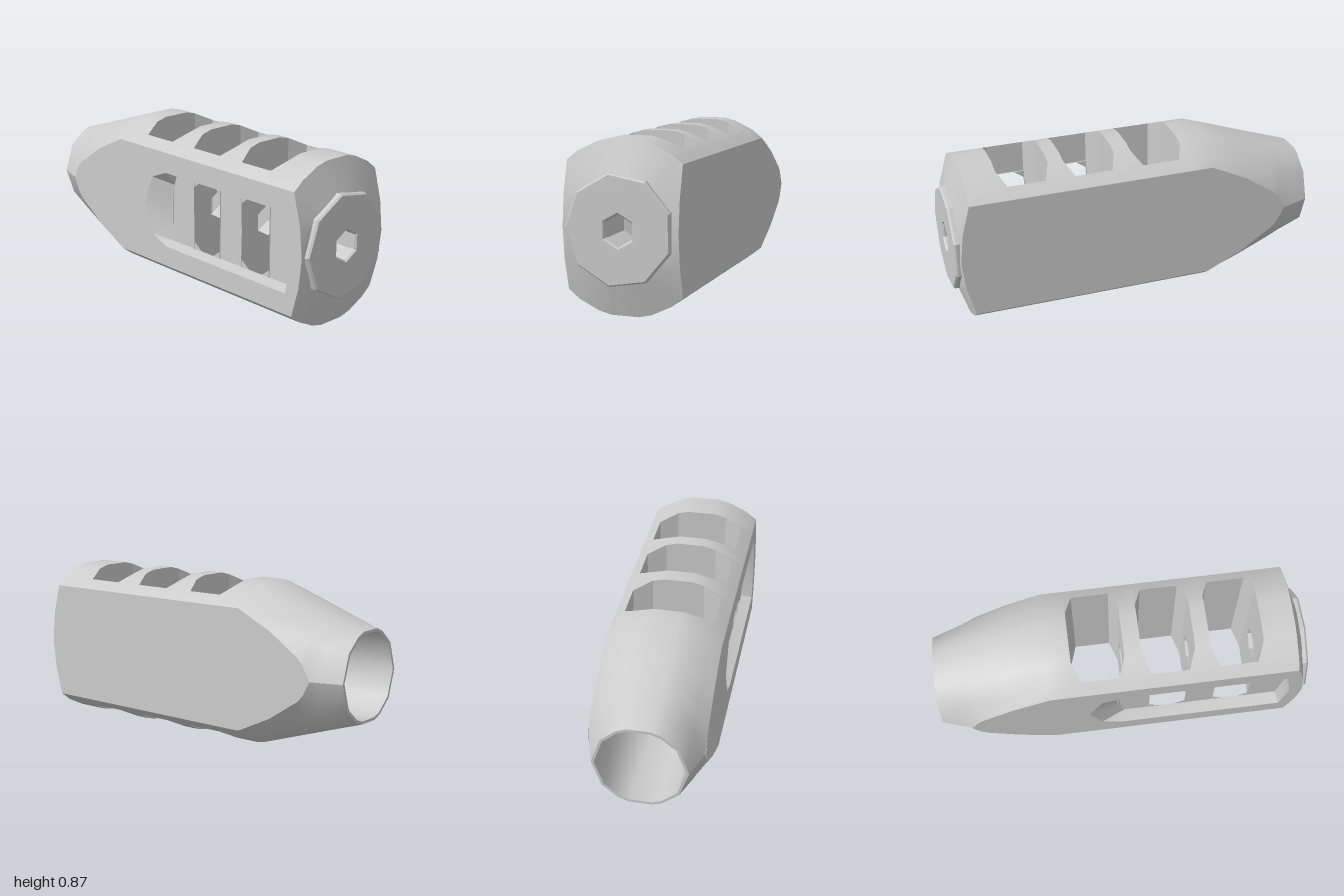
import * as THREE from 'three';
import { toCreasedNormals } from 'three/addons/utils/BufferGeometryUtils.js';

const CY = 0.444, R = 0.44, FLAT = 0.3, SLOT = 0.24, SLOT_END = 0.14, CHAMFER = 0.04;
const SLOTS = [[-0.27, 0.01], [0.1, 0.38], [0.46, 0.74]];
const T = [1, 0.8, 0.467, 0.25, -0.25, -0.467, -0.8, -1];

const radius = x => (x < -0.4 ? 0.245 + (R - 0.245) * (x + 1) / 0.6 : R);
const arcY = (r, z) => Math.sqrt(Math.max(0, r * r - z * z));
const endX = r => 0.915 + (R - r) * 0.43;

// Surface through rows of points
function grid(rows, crease = 0.8) {
  const p = [];
  for (let i = 0; i < rows.length - 1; i++) {
    for (let j = 0; j < rows[i].length - 1; j++) {
      const a = rows[i][j], b = rows[i + 1][j], c = rows[i + 1][j + 1], d = rows[i][j + 1];
      p.push(...a, ...b, ...c, ...a, ...c, ...d);
    }
  }
  const g = new THREE.BufferGeometry();
  g.setAttribute('position', new THREE.Float32BufferAttribute(p, 3));
  return toCreasedNormals(g, crease);
}

const outline = pts => pts.map(([x, y]) => new THREE.Vector2(x, y));
function shape(pts, holes = []) {
  const s = new THREE.Shape(outline(pts));
  holes.forEach(h => s.holes.push(new THREE.Path(outline(h))));
  return s;
}
const polygon = (r, n, phase) => Array.from({ length: n }, (_, k) => {
  const a = phase + k * 2 * Math.PI / n;
  return [r * Math.cos(a), r * Math.sin(a)];
});
const close = pts => [...pts, pts[0]];
const HEX = polygon(0.09, 6, Math.PI / 2);

// Upper arc of the body section at x, clipped by the side flats
function arc(x, r = radius(x)) {
  const h = Math.min(FLAT, r);
  return T.map(t => [x, arcY(r, h * t), h * t]);
}
// Full loop: upper arc, then the same arc turned half round
function loop(x, r) {
  const a = arc(x, r);
  return close([...a, ...a.map(([px, y, z]) => [px, -y, -z])]);
}

export function createModel() {
  const root = new THREE.Group();
  const body = new THREE.Group();
  body.name = 'body';
  body.position.y = CY;
  root.add(body);
  const mat = new THREE.MeshStandardMaterial({ color: 0xcccccc, side: THREE.DoubleSide });
  const add = (name, geo) => {
    const m = new THREE.Mesh(geo, mat);
    m.name = name;
    body.add(m);
    return m;
  };
  const addTwice = (name, geo) => {
    add(name, geo);
    add(name, geo).rotation.x = Math.PI;
  };

  // Curved skin between the slots, top and bottom
  const runs = [[-1, -0.9, -0.84, -0.8, -0.77, -0.6, -0.4, -0.27], [0.01, 0.1], [0.38, 0.46], [0.74, 0.915]];
  runs.forEach(run => addTwice('curvedSkin', grid(run.map(x => arc(x)))));

  // Slot edges, walls and pierced end walls
  SLOTS.forEach(([x0, x1], i) => {
    const stations = [[x0, SLOT_END], [x0 + CHAMFER, SLOT], [x1 - CHAMFER, SLOT], [x1, SLOT_END]];
    const band = stations.map(([x, w]) => [FLAT, SLOT, w].map(z => [x, arcY(R, z), z]));
    const other = band.map(row => row.map(([x, y, z]) => [x, y, -z]).reverse());
    addTwice('slotEdge', grid(band));
    addTwice('slotEdge', grid(other));

    for (const side of [1, -1]) {
      for (let k = 0; k < 3; k++) {
        const ends = [stations[k], stations[k + 1]];
        const column = ys => ends.map(([x, w]) => ys(w).map(y => [x, y, side * w]));
        if (side === 1 && k === 1 && i > 0) {
          // This wall opens into the side recess
          add('slotWall', grid(column(w => [0.195, arcY(R, w)])));
          add('slotWall', grid(column(w => [-arcY(R, w), -0.195])));
        } else add('slotWall', grid(column(w => [-arcY(R, w), arcY(R, w)])));
      }
    }
    const top = [SLOT_END, 0.075, -0.075, -SLOT_END].map(z => [z, arcY(R, z)]);
    const wall = shape([...top, ...top.map(([z, y]) => [-z, -y])], [HEX]);
    [x0, x1].forEach((x, k) => {
      const g = new THREE.ShapeGeometry(wall).rotateY(k ? -Math.PI / 2 : Math.PI / 2);
      add('slotEndWall', g.translate(x, 0, 0));
    });
  });

  // Side flats: hyperbolic nose edge and bowed far edge
  const nose = [-0.84, -0.8, -0.77, -0.6, -0.4].map(x => [x, arcY(radius(x), FLAT)]);
  const cornerY = arcY(R, FLAT);
  const sideY = [1, 0.5, 0, -0.5, -1].map(t => t * cornerY);
  const flat = [
    ...nose,
    ...sideY.map(y => [endX(Math.hypot(FLAT, y)), y]),
    ...nose.slice(1).reverse().map(([x, y]) => [x, -y]),
  ];
  const rim = [[-0.02, 0.21], [0.87, 0.21], [0.905, 0], [0.87, -0.21], [-0.02, -0.21],
    [-0.13, -0.165], [-0.2, 0], [-0.13, 0.165]];
  const floor = [[0, 0.195], [0.86, 0.195], [0.89, 0], [0.86, -0.195], [0, -0.195],
    [-0.02, -0.13], [-0.03, 0], [-0.02, 0.13]];
  add('frontFlat', new THREE.ShapeGeometry(shape(flat, [rim])).translate(0, 0, FLAT));
  const back = add('backFlat', new THREE.ShapeGeometry(shape(flat)).rotateX(Math.PI));
  back.position.z = -FLAT;

  // Recess in the front flat, open to two slots
  const openings = SLOTS.slice(1).map(([x0, x1]) => {
    const m = (x0 + x1) / 2;
    return [[-0.045, 0.195], [0.045, 0.195], [0.1, 0.155], [0.1, -0.155],
      [0.045, -0.195], [-0.045, -0.195], [-0.1, -0.155], [-0.1, 0.155]].map(([x, y]) => [m + x, y]);
  });
  add('recessFloor', new THREE.ShapeGeometry(shape(floor, openings)).translate(0, 0, 0.235));
  const at = (pts, z) => close(pts).map(([x, y]) => [x, y, z]);
  add('recessWall', grid([at(floor, 0.235), at(rim, FLAT)], 0.5));

  // Wide bore and lip at the narrow end
  add('noseBore', grid([loop(-0.4, 0.09), loop(-0.4, 0.23), loop(-1, 0.23), loop(-1, 0.245)]));

  // Sloped end face
  const half = [
    ...T.map(t => [arcY(R, FLAT * t), FLAT * t]),
    ...sideY.slice(1, -1).map(y => [y, -FLAT]),
  ];
  const edge = close([...half, ...half.map(([y, z]) => [-y, -z])]);
  add('endFace', grid([
    edge.map(([y, z]) => [endX(Math.hypot(y, z)), y, z]),
    edge.map(([y, z]) => {
      const k = 0.25 / Math.hypot(y, z);
      return [0.975, y * k, z * k];
    }),
  ], 0.3));

  // Nine-sided collar with a six-sided hole
  const collar = new THREE.ExtrudeGeometry(shape(polygon(0.272, 9, Math.PI), [HEX]), {
    depth: 0.04, bevelEnabled: true, bevelThickness: 0.01, bevelSize: 0.008, bevelSegments: 1,
  });
  add('collar', collar.rotateY(Math.PI / 2).translate(0.95, 0, 0));

  // Small bore through the bridges
  [[-0.4, -0.27], [0.01, 0.1], [0.38, 0.46], [0.74, 0.96]].forEach(ends => {
    add('innerBore', grid(ends.map(x => close(HEX).map(([z, y]) => [x, y, z])), 0.3));
  });
  return root;
}
